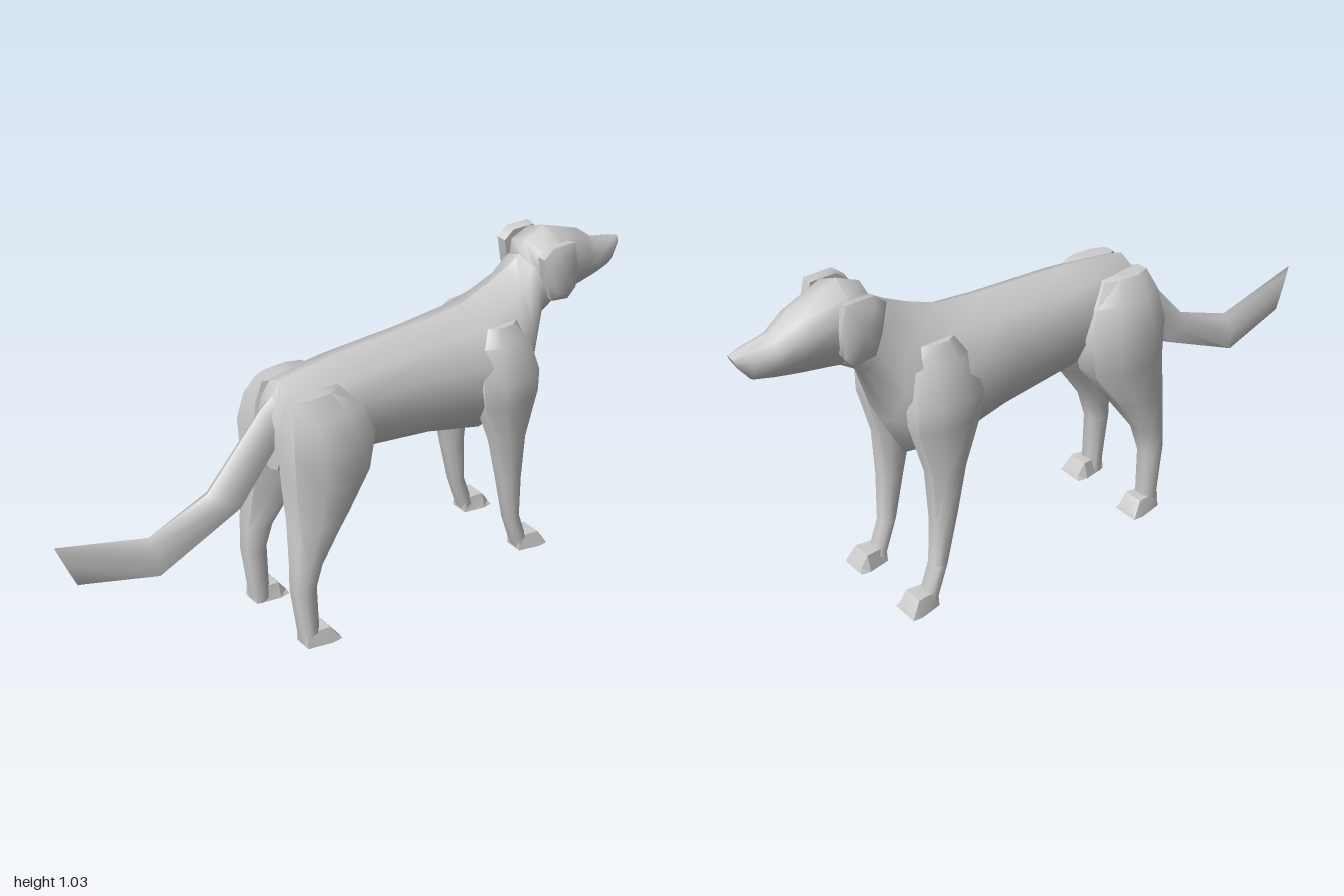
import * as THREE from 'three';
import { toCreasedNormals } from 'three/addons/utils/BufferGeometryUtils.js';

const material = new THREE.MeshStandardMaterial({ color: 0xcccccc });

// Skin a list of closed rings of [x, y, z] points and cap both ends.
function loft(name, rings, crease = 0.9) {
  const n = rings[0].length;
  const pos = rings.flat(2);
  const index = [];
  for (let r = 0; r < rings.length - 1; r++) {
    for (let i = 0; i < n; i++) {
      const a = r * n + i, b = r * n + (i + 1) % n;
      index.push(a, b, a + n, b, b + n, a + n);
    }
  }
  [0, rings.length - 1].forEach((r, end) => {
    const c = pos.length / 3;
    for (let k = 0; k < 3; k++) pos.push(rings[r].reduce((s, p) => s + p[k], 0) / n);
    for (let i = 0; i < n; i++) {
      const a = r * n + i, b = r * n + (i + 1) % n;
      index.push(c, end ? a : b, end ? b : a);
    }
  });
  // Signed volume tells whether the faces point inwards
  const p = i => new THREE.Vector3().fromArray(pos, i * 3);
  let volume = 0;
  for (let i = 0; i < index.length; i += 3) {
    volume += p(index[i]).dot(p(index[i + 1]).cross(p(index[i + 2])));
  }
  if (volume < 0) index.reverse();
  const geo = new THREE.BufferGeometry();
  geo.setAttribute('position', new THREE.Float32BufferAttribute(pos, 3));
  geo.setIndex(index);
  const mesh = new THREE.Mesh(toCreasedNormals(geo, crease), material);
  mesh.name = name;
  return mesh;
}

// Symmetric ring from a top point to a bottom point, with half widths between.
function spineRing([zt, yt, zb, yb, widths], heights = [0.12, 0.35, 0.65, 0.93]) {
  const at = (x, t) => [x, yt + (yb - yt) * t, zt + (zb - zt) * t];
  const left = widths.map((w, i) => at(w, heights[i]));
  const right = widths.map((w, i) => at(-w, heights[i])).reverse();
  return [at(0, 0), ...left, at(0, 1), ...right];
}

// Eight-sided level ring for a leg: height, inner and outer x, back and front z.
function legRing(side, [y, xi, xo, zb, zf]) {
  const cx = (xi + xo) / 2, cz = (zb + zf) / 2, hx = (xo - xi) / 2, hz = (zb - zf) / 2;
  return [[1, 0.45], [0.5, 1], [-0.5, 1], [-1, 0.45], [-1, -0.45], [-0.5, -1], [0.5, -1], [1, -0.45]]
    .map(([u, v]) => [side * (cx + u * hx), y, cz + v * hz]);
}

// Wedge paw that widens towards the toes
function paw(name, side, heel, toe) {
  const ring = (z, xi, xo, h, inset, back) => [
    [side * xi, 0, z], [side * xo, 0, z],
    [side * (xo - inset), h, z + back], [side * (xi + inset), h, z + back]];
  const mid = toe + (heel - toe) * 0.3;
  return loft(name, [
    ring(heel, 0.105, 0.165, 0.05, 0.005, 0),
    ring(mid, 0.088, 0.184, 0.05, 0.015, 0),
    ring(toe, 0.092, 0.182, 0.014, 0.01, 0.006)], 0.4);
}

export function createModel() {
  const dog = new THREE.Group();
  dog.name = 'dog';

  // Trunk and neck, from rump to throat
  dog.add(loft('body', [
    [0.325, 0.75, 0.32, 0.55, [0.04, 0.06, 0.06, 0.04]],
    [0.28, 0.822, 0.25, 0.53, [0.085, 0.11, 0.10, 0.05]],
    [0.07, 0.84, 0.07, 0.53, [0.085, 0.115, 0.115, 0.06]],
    [-0.2, 0.847, -0.2, 0.49, [0.09, 0.13, 0.135, 0.07]],
    [-0.37, 0.86, -0.40, 0.43, [0.10, 0.155, 0.16, 0.07]],
    [-0.47, 0.895, -0.5, 0.43, [0.085, 0.15, 0.15, 0.05]],
    [-0.54, 0.927, -0.57, 0.56, [0.065, 0.115, 0.125, 0.06]],
    [-0.58, 0.95, -0.63, 0.74, [0.06, 0.09, 0.09, 0.05]],
    [-0.62, 0.98, -0.71, 0.79, [0.05, 0.08, 0.08, 0.05]],
  ].map(r => spineRing(r))));

  // Head, from nape to nose
  dog.add(loft('head', [
    [-0.59, 0.96, -0.66, 0.80, [0.05, 0.08, 0.08, 0.05]],
    [-0.61, 1.0, -0.70, 0.787, [0.07, 0.09, 0.085, 0.05]],
    [-0.68, 1.028, -0.74, 0.79, [0.07, 0.092, 0.085, 0.045]],
    [-0.82, 0.98, -0.82, 0.80, [0.045, 0.07, 0.065, 0.035]],
    [-0.88, 0.937, -0.89, 0.812, [0.03, 0.052, 0.052, 0.028]],
    [-0.96, 0.92, -0.945, 0.822, [0.022, 0.036, 0.036, 0.018]],
    [-1.0, 0.907, -0.975, 0.86, [0.01, 0.016, 0.016, 0.01]],
  ].map(r => spineRing(r))));

  // Tail, hanging from the rump and sweeping up to a thin tip
  dog.add(loft('tail', [
    [0.27, 0.81, 0.29, 0.66, [0.025, 0.033, 0.03]],
    [0.34, 0.755, 0.33, 0.61, [0.022, 0.035, 0.03]],
    [0.53, 0.545, 0.44, 0.48, [0.025, 0.039, 0.035]],
    [0.72, 0.48, 0.715, 0.366, [0.018, 0.04, 0.039]],
    [1.0, 0.565, 0.945, 0.42, [0.002, 0.006, 0.008]],
  ].map(r => spineRing(r, [0.15, 0.5, 0.95]))));

  // Rows: height, inner x, outer x, back z, front z
  const hindRows = [
    [0.80, 0.04, 0.11, 0.30, 0.14],
    [0.74, 0.03, 0.155, 0.32, 0.09],
    [0.65, 0.02, 0.187, 0.332, 0.055],
    [0.53, 0.025, 0.184, 0.327, 0.075],
    [0.42, 0.05, 0.187, 0.327, 0.155],
    [0.29, 0.08, 0.176, 0.335, 0.245],
    [0.20, 0.092, 0.168, 0.34, 0.27],
    [0, 0.1, 0.165, 0.315, 0.262],
  ];
  const foreRows = [
    [0.81, 0.05, 0.12, -0.39, -0.50],
    [0.76, 0.05, 0.15, -0.36, -0.53],
    [0.65, 0.07, 0.19, -0.335, -0.55],
    [0.58, 0.08, 0.186, -0.345, -0.55],
    [0.43, 0.09, 0.182, -0.40, -0.51],
    [0.28, 0.10, 0.175, -0.432, -0.505],
    [0.13, 0.105, 0.165, -0.465, -0.513],
    [0.04, 0.105, 0.165, -0.497, -0.545],
    [0, 0.105, 0.165, -0.512, -0.55],
  ];
  // Ear outline as [z, y]
  const ear = [[-0.595, 0.975], [-0.63, 1.003], [-0.715, 1.0], [-0.732, 0.93],
    [-0.73, 0.85], [-0.70, 0.82], [-0.635, 0.83], [-0.612, 0.89]];

  for (const [side, label] of [[1, 'left'], [-1, 'right']]) {
    dog.add(loft(label + 'HindLeg', hindRows.map(r => legRing(side, r))));
    dog.add(loft(label + 'ForeLeg', foreRows.map(r => legRing(side, r))));
    dog.add(paw(label + 'HindPaw', side, 0.315, 0.205));
    dog.add(paw(label + 'ForePaw', side, -0.51, -0.61));
    // Flat drooping ear, slightly domed outside
    const earRing = (x, s) => ear.map(([z, y]) =>
      [side * x, 0.91 + (y - 0.91) * s, -0.665 + (z + 0.665) * s]);
    dog.add(loft(label + 'Ear', [earRing(0.075, 0.95), earRing(0.105, 1), earRing(0.119, 0.7)]));
  }
  return dog;
}
